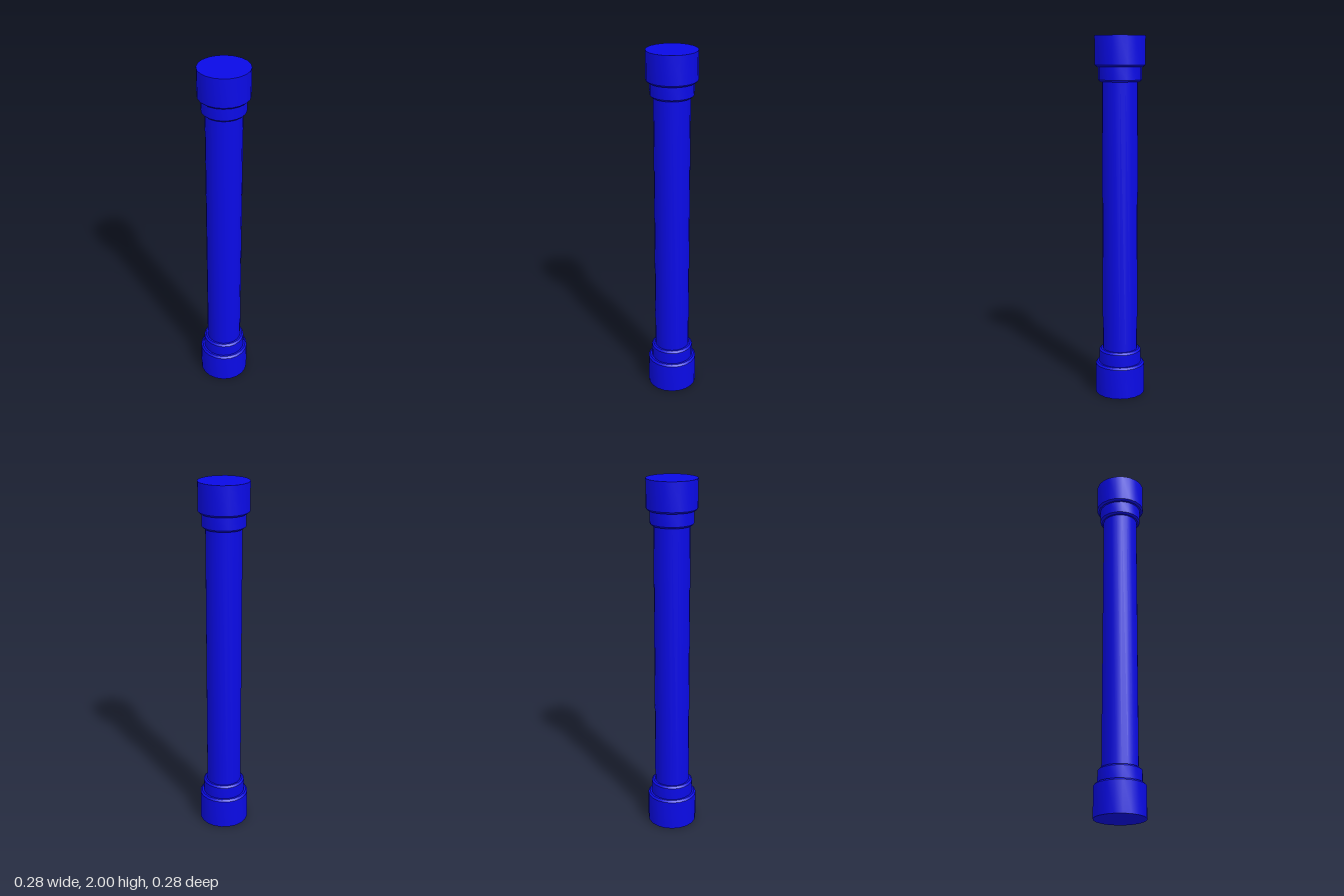
import * as THREE from 'three';
import { toCreasedNormals } from 'three/addons/utils/BufferGeometryUtils.js';

const SIDES = 20;
const BEVEL = 0.01;

export function createModel() {
  const column = new THREE.Group();
  column.name = 'column';
  const material = new THREE.MeshStandardMaterial({ color: 0x0a0ae6 });

  // Revolve a [radius, height] profile, listed from bottom to top
  function addTurned(name, profile) {
    const points = profile.map(([r, y]) => new THREE.Vector2(r, y));
    const geometry = toCreasedNormals(new THREE.LatheGeometry(points, SIDES), 0.5);
    const mesh = new THREE.Mesh(geometry, material);
    mesh.name = name;
    column.add(mesh);
  }

  const shaftR = 0.098;

  // Base drum, bevelled on its upper edge
  addTurned('base', [[0, 0], [0.139, 0], [0.139, 0.18 - BEVEL], [0.139 - BEVEL, 0.18], [0.1, 0.18]]);

  // Lower collar
  addTurned('lowerCollar', [[0.118, 0.18], [0.118, 0.26 - BEVEL], [0.118 - BEVEL, 0.26], [shaftR, 0.26]]);

  // Plain shaft
  addTurned('shaft', [[shaftR, 0.26], [shaftR, 1.757]]);

  // Upper collar, bevelled on its lower edge
  addTurned('upperCollar', [[shaftR, 1.757], [0.117 - BEVEL, 1.757], [0.117, 1.757 + BEVEL], [0.117, 1.836]]);

  // Capital drum, bevelled on its lower edge
  addTurned('capital', [[0.1, 1.836], [0.137 - BEVEL, 1.836], [0.137, 1.836 + BEVEL], [0.137, 2], [0, 2]]);

  return column;
}
